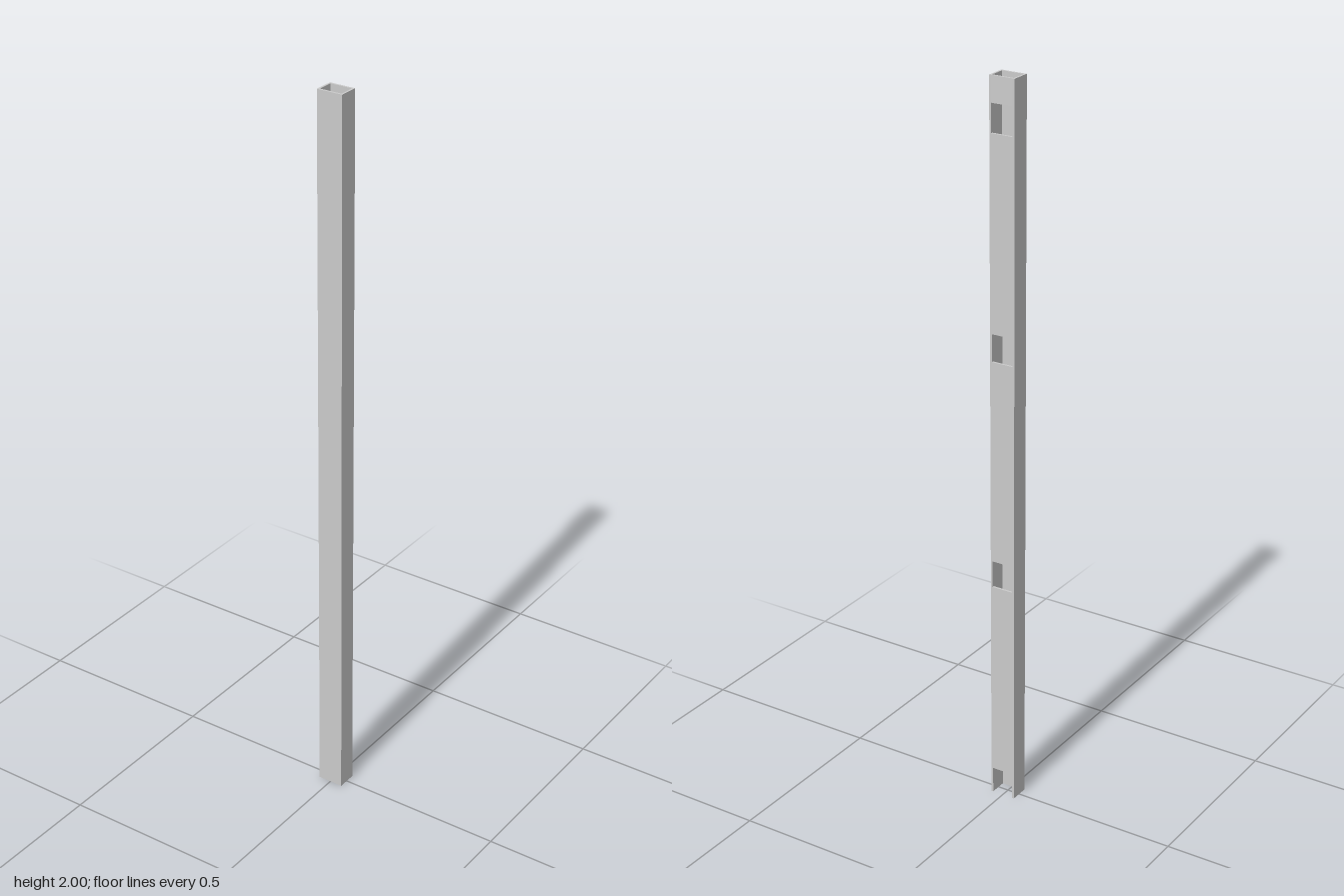
import * as THREE from 'three';

const W = 0.072, D = 0.054, T = 0.0055, H = 2;

export function createModel() {
  const group = new THREE.Group();
  group.name = 'slottedPost';
  const material = new THREE.MeshStandardMaterial({ color: 0xcccccc, flatShading: true });

  // Front and side walls: a U section, open to the back and at both ends
  const x = W / 2, z = D / 2, xi = x - T, zi = z - T;
  const section = new THREE.Shape([
    [-x, z], [-x, -z], [x, -z], [x, z], [xi, z], [xi, -zi], [-xi, -zi], [-xi, z],
  ].map(([px, pz]) => new THREE.Vector2(px, pz)));
  const channelGeometry = new THREE.ExtrudeGeometry(section, { depth: H, bevelEnabled: false });
  channelGeometry.rotateX(-Math.PI / 2); // section y becomes -z, extrusion becomes +y
  const channel = new THREE.Mesh(channelGeometry, material);
  channel.name = 'channelWalls';
  group.add(channel);

  // Back wall: panels between the slots, the lowest slot open at the foot
  const panels = [[0.075, 0.63], [0.705, 1.265], [1.34, 1.857], [1.932, H]];
  panels.forEach(([y0, y1], i) => {
    const panel = new THREE.Mesh(new THREE.BoxGeometry(2 * xi, y1 - y0, T), material);
    panel.name = `backPanel${i + 1}`;
    panel.position.set(0, (y0 + y1) / 2, -z + T / 2);
    group.add(panel);
  });

  return group;
}
